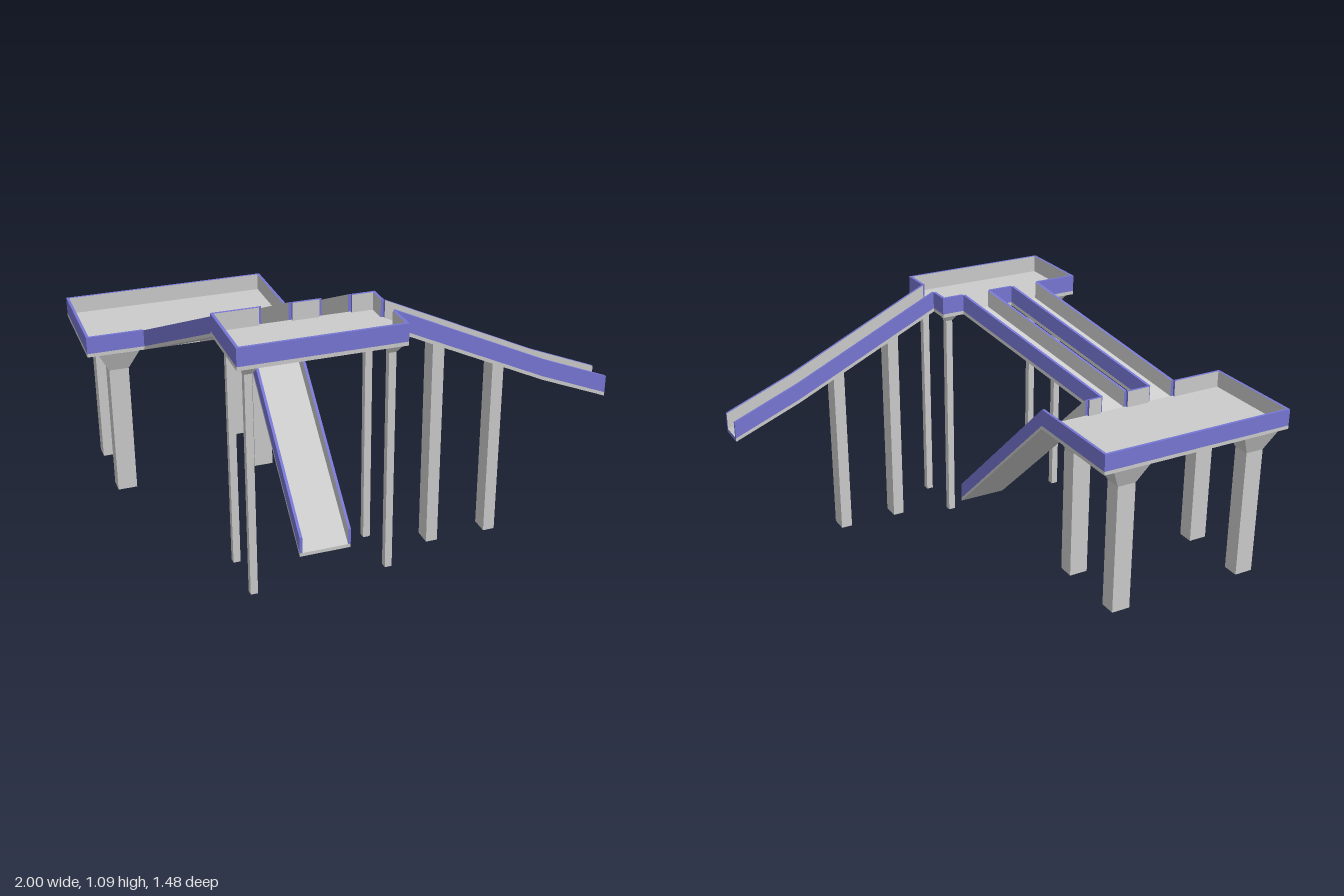
import * as THREE from 'three';

const SLAB = 0.016, RIM = 0.09, WALL = 0.012;
const grey = new THREE.MeshStandardMaterial({ color: 0xcccccc, flatShading: true });
const blue = new THREE.MeshStandardMaterial({ color: 0x7777d5, flatShading: true });

const V = (x, y, z) => new THREE.Vector3(x, y, z);
const up = (p, h) => V(p.x, p.y + h, p.z);

// Collects the faces of six-sided blocks, sorted by colour
class Part {
  constructor(name) {
    this.group = new THREE.Group();
    this.group.name = name;
    this.faces = { grey: [], blue: [] };
  }
  // faces: 0 bottom, 1 top, 2-5 sides; colourOf(index) names the colour
  block(b, t, colourOf) {
    const centre = V(0, 0, 0);
    [...b, ...t].forEach(p => centre.addScaledVector(p, 1 / 8));
    const quads = [b, t];
    for (let i = 0; i < 4; i++) {
      const j = (i + 1) % 4;
      quads.push([b[i], b[j], t[j], t[i]]);
    }
    quads.forEach((q, i) => {
      const n = q[1].clone().sub(q[0]).cross(q[2].clone().sub(q[0]));
      const f = n.dot(q[0].clone().sub(centre)) < 0 ? [...q].reverse() : q;
      for (const k of [0, 1, 2, 0, 2, 3]) this.faces[colourOf(i)].push(...f[k].toArray());
    });
  }
  floor(corners, cap = false) {
    this.block(corners, corners.map(p => up(p, SLAB)), i => (cap && i === 4 ? 'blue' : 'grey'));
  }
  // Side wall standing on the slab edge p-q; inward is the side it thickens to
  wall(p, q, inward) {
    const b = [p, q, q.clone().add(inward), p.clone().add(inward)].map(v => up(v, SLAB));
    this.block(b, b.map(v => up(v, RIM - SLAB)), i => (i === 4 ? 'grey' : 'blue'));
  }
  finish() {
    for (const [key, material, name] of [['grey', grey, 'Lining'], ['blue', blue, 'Walls']]) {
      if (!this.faces[key].length) continue;
      const g = new THREE.BufferGeometry();
      g.setAttribute('position', new THREE.Float32BufferAttribute(this.faces[key], 3));
      g.computeVertexNormals();
      const mesh = new THREE.Mesh(g, material);
      mesh.name = this.group.name + name;
      this.group.add(mesh);
    }
    return this.group;
  }
}

// Walled tray; each side lists the [from, to] runs that carry a wall
function platform(name, x0, x1, z0, z1, y, runs) {
  const part = new Part(name);
  part.floor([V(x0, y, z0), V(x1, y, z0), V(x1, y, z1), V(x0, y, z1)]);
  const alongX = (z, s) => ([a, b]) => part.wall(V(a, y, z), V(b, y, z), V(0, 0, s * WALL));
  const alongZ = (x, s) => ([a, b]) => part.wall(V(x, y, a), V(x, y, b), V(s * WALL, 0, 0));
  (runs.back ?? [[x0, x1]]).forEach(alongX(z0, 1));
  (runs.front ?? [[x0, x1]]).forEach(alongX(z1, -1));
  (runs.right ?? [[z0, z1]]).forEach(alongZ(x0, 1));
  (runs.left ?? [[z0, z1]]).forEach(alongZ(x1, -1));
  return part.finish();
}

// Sloping trough through a list of [edgeA, edgeB] stations
function ramp(name, stations, cap) {
  const part = new Part(name);
  for (let i = 0; i + 1 < stations.length; i++) {
    const [a0, b0] = stations[i], [a1, b1] = stations[i + 1];
    const across = b0.clone().sub(a0).setLength(WALL);
    part.floor([a0, b0, b1, a1], cap && i + 2 === stations.length);
    part.wall(a0, a1, across);
    part.wall(b0, b1, across.clone().negate());
  }
  return part.finish();
}

const rect = (x, z, w, d, heightAt) => [[-1, -1], [1, -1], [1, 1], [-1, 1]].map(([sx, sz]) =>
  V(x + sx * w / 2, heightAt(x + sx * w / 2), z + sz * d / 2));

// Square post, with a flared capital when capH > 0
function post(name, x, z, w, d, topAt, capH = 0, capW = 0, capD = 0) {
  const part = new Part(name);
  const neck = rect(x, z, w, d, px => topAt(px) - capH);
  part.block(rect(x, z, w, d, () => 0.01), neck, () => 'grey');
  if (capH) part.block(neck, rect(x, z, capW, capD, topAt), () => 'grey');
  return part.finish();
}

export function createModel() {
  const model = new THREE.Group();
  model.name = 'rampTower';
  const lowY = 0.69, highY = 1.0, lowZ = -0.255, highZ = 0.385;

  // Two trays
  model.add(platform('lowerPlatform', -1, -0.09, -0.74, lowZ, lowY, {
    front: [[-1, -0.755], [-0.62, -0.51], [-0.375, -0.315]],
  }));
  model.add(platform('upperPlatform', -0.625, 0.045, highZ, 0.735, highY, {
    back: [[-0.625, -0.435], [-0.3, -0.19], [-0.055, 0.045]],
    left: [[highZ, 0.48], [0.6, 0.735]],
  }));

  // Two skewed ramps joining the trays
  for (const x of [-0.435, -0.19]) {
    model.add(ramp('connectingRamp', [
      [V(x, highY, highZ), V(x + 0.135, highY, highZ)],
      [V(x - 0.32, lowY, lowZ), V(x - 0.185, lowY, lowZ)],
    ]));
  }

  // Ramp from the lower tray to the ground
  model.add(ramp('groundRamp', [
    [V(-0.315, lowY, lowZ), V(-0.09, lowY, lowZ)],
    [V(-0.315, 0, 0.495), V(-0.09, 0, 0.495)],
  ]));

  // Long side slide with a slight bend
  const slide = [[0.045, highY], [0.7, 0.692], [1, 0.57]];
  model.add(ramp('sideSlide', slide.map(([x, y]) => [V(x, y, 0.48), V(x, y, 0.6)]), true));

  // Posts
  const slideAt = x => highY + (x - 0.045) * (0.692 - highY) / 0.655;
  for (const x of [-0.573, -0.005]) for (const z of [0.443, 0.685])
    model.add(post('upperPost', x, z, 0.03, 0.03, () => highY, 0.035, 0.075, 0.075));
  for (const x of [-0.865, -0.225]) for (const z of [-0.327, -0.663])
    model.add(post('lowerPost', x, z, 0.085, 0.075, () => lowY, 0.09, 0.175, 0.145));
  for (const x of [0.24, 0.505])
    model.add(post('slidePost', x, 0.542, 0.05, 0.077, slideAt));

  return model;
}
